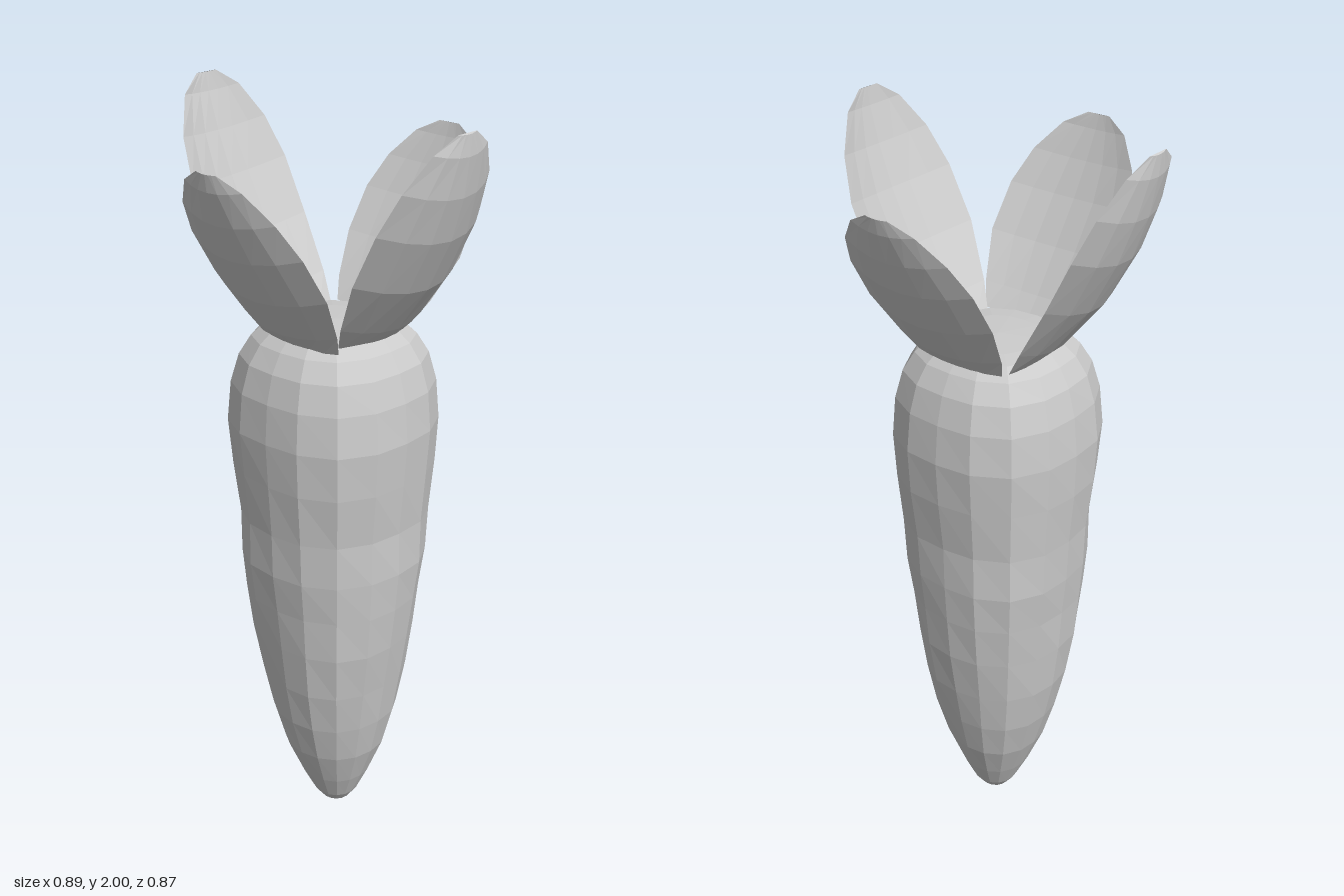
import * as THREE from 'three';

const material = new THREE.MeshStandardMaterial({ color: 0xcccccc, flatShading: true, side: THREE.DoubleSide });

// Lathed root pushed towards a rounded square, with shallow carved lumps
function makeRoot() {
  const profile = [
    [0, 0], [0.04, 0.004], [0.06, 0.03], [0.094, 0.1], [0.135, 0.2], [0.165, 0.31],
    [0.188, 0.43], [0.207, 0.56], [0.219, 0.68], [0.23, 0.79], [0.232, 0.91], [0.245, 1.05],
    [0.252, 1.17], [0.243, 1.275], [0.223, 1.35], [0.194, 1.4], [0.163, 1.43], [0.11, 1.436], [0, 1.44],
  ].map(([r, y]) => new THREE.Vector2(r, y));
  const geometry = new THREE.LatheGeometry(profile, 16);
  const p = geometry.attributes.position;
  for (let i = 0; i < p.count; i++) {
    const x = p.getX(i), y = p.getY(i), z = p.getZ(i);
    const r = Math.max(Math.hypot(x, z), 1e-6);
    const a = Math.atan2(z, x);
    const n = 2.15 + 0.5 * Math.min(1, y / 1.2);
    const square = Math.pow(Math.abs(Math.cos(a)) ** n + Math.abs(Math.sin(a)) ** n, -1 / n);
    const lump = 0.003 * Math.sin(3 * a + 11 * y) * Math.sin(Math.PI * Math.min(1, y / 1.43));
    const k = r > 1e-5 ? square + lump / r : 1;
    const sway = 0.008 + 0.01 * Math.max(0, 1 - y / 0.4);
    p.setXYZ(i, x * k + sway, y, z * k);
  }
  const flat = geometry.toNonIndexed();
  flat.computeVertexNormals();
  const mesh = new THREE.Mesh(flat, material);
  mesh.name = 'root';
  return mesh;
}

// Cupped leaf leaning towards +z: rows of [t along leaf, width factor, bulge factor]
const leafRows = [
  [0, 0.68, 0.3], [0.12, 0.83, 0.68], [0.36, 1, 1], [0.6, 0.98, 1],
  [0.78, 0.81, 0.78], [0.93, 0.5, 0.4], [1, 0.17, 0.08],
];
const ACROSS = 6;

function makeLeaf(name, angle, { tipY, tipR, baseR, width, bulge, bow, skew, baseShift, shift, tipShift }) {
  const positions = [], index = [];
  const ring = ACROSS * 2;
  const lean = Math.atan2(tipY - 1.42, tipR - baseR);
  // Each ring crosses the outer skin, then returns over the shallower inner skin
  for (const [t, w, b] of leafRows) {
    const rimR = baseR + (tipR - baseR) * t + bow * Math.sin(Math.PI * t);
    const rimY = 1.42 + (tipY - 1.42) * t;
    const centre = t < 0.36
      ? THREE.MathUtils.lerp(baseShift, shift, t / 0.36)
      : THREE.MathUtils.lerp(shift, tipShift, (t - 0.36) / 0.64);
    for (let j = 0; j < ring; j++) {
      const outer = j <= ACROSS;
      const u = outer ? -1 + (2 * j) / ACROSS : 1 - (2 * (j - ACROSS)) / ACROSS;
      const depth = bulge * b * (1 - u * u) * (outer ? 1 : 0.5);
      const side = u * w * width;
      const twist = skew * side * (1 - t ** 3);
      positions.push(centre + side, rimY - depth * Math.cos(lean), rimR - twist + depth * Math.sin(lean));
    }
  }
  for (let i = 0; i < leafRows.length - 1; i++) {
    for (let j = 0; j < ring; j++) {
      const a = i * ring + j, b = i * ring + ((j + 1) % ring);
      index.push(a, b, b + ring, a, b + ring, a + ring);
    }
  }
  // Close base and tip
  const last = (leafRows.length - 1) * ring;
  for (let j = 1; j < ring - 1; j++) {
    index.push(0, j + 1, j, last, last + j, last + j + 1);
  }
  const geometry = new THREE.BufferGeometry();
  geometry.setAttribute('position', new THREE.Float32BufferAttribute(positions, 3));
  geometry.setIndex(index);
  const flat = geometry.toNonIndexed();
  flat.computeVertexNormals();
  const mesh = new THREE.Mesh(flat, material);
  mesh.name = name;
  mesh.rotation.y = angle;
  return mesh;
}

export function createModel() {
  const group = new THREE.Group();
  group.name = 'carrot';
  group.add(makeRoot());
  group.add(
    makeLeaf('frontLeaf', 0, {
      tipY: 1.895, tipR: 0.43, baseR: 0.145, width: 0.19, bulge: 0.055, bow: 0.004, skew: 0,
      baseShift: 0.03, shift: 0.032, tipShift: 0.015,
    }),
    makeLeaf('leftLeaf', Math.PI / 2, {
      tipY: 1.985, tipR: 0.438, baseR: 0.135, width: 0.193, bulge: 0.075, bow: 0.01, skew: 0,
      baseShift: 0.01, shift: -0.008, tipShift: -0.025,
    }),
    makeLeaf('backLeaf', Math.PI, {
      tipY: 1.87, tipR: 0.43, baseR: 0.16, width: 0.19, bulge: 0.045, bow: 0, skew: 0,
      baseShift: 0, shift: -0.012, tipShift: -0.015,
    }),
    makeLeaf('rightLeaf', -Math.PI / 2, {
      tipY: 2.0, tipR: 0.44, baseR: 0.11, width: 0.195, bulge: 0.075, bow: 0.004, skew: 0.19,
      baseShift: -0.008, shift: 0.015, tipShift: 0,
    }),
  );
  return group;
}
